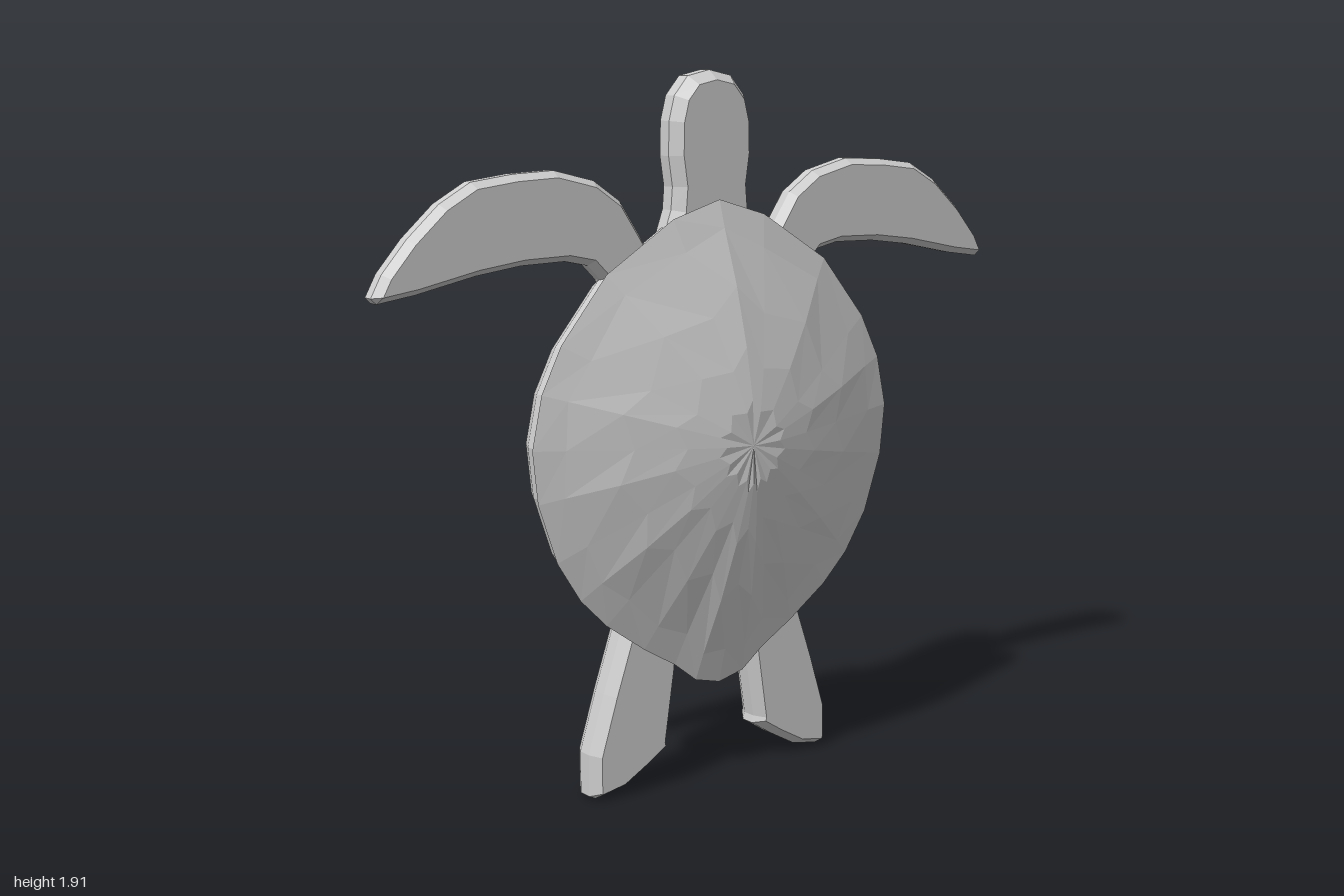
import * as THREE from 'three';

const material = new THREE.MeshStandardMaterial({ color: 0xcccccc, flatShading: true });
const CENTRE_Y = 0.95;

// Right half of the shell outline, from the tail tip up to the neck
const HALF = [
  [0, 0.27], [0.08, 0.29], [0.15, 0.345], [0.25, 0.405], [0.37, 0.49], [0.45, 0.57], [0.52, 0.68],
  [0.575, 0.84], [0.59, 0.98], [0.56, 1.12], [0.5, 1.24], [0.36, 1.41], [0.15, 1.54], [0, 1.585],
];

const mirrored = (half) => [
  ...half,
  ...half.slice(1, -1).reverse().map(([x, y]) => [-x, y]),
];

// Stack scaled copies of the outline from front to back; rings are [scale, z, zigzag]
function loft(name, rings) {
  const outline = mirrored(HALF);
  const n = outline.length;
  const positions = [];
  const index = [];
  for (const [scale, z, zigzag = 0] of rings) {
    outline.forEach(([x, y], j) => {
      const shift = j % 2 ? zigzag : -zigzag;
      const s = scale + shift;
      positions.push(x * s, CENTRE_Y + (y - CENTRE_Y) * s, z - shift * 0.12);
    });
  }
  for (let i = 0; i < rings.length - 1; i++) {
    for (let j = 0; j < n; j++) {
      const a = i * n + j;
      const b = i * n + ((j + 1) % n);
      if (rings[i][0] > 0) index.push(a, b + n, b);
      if (rings[i + 1][0] > 0) index.push(a, a + n, b + n);
    }
  }
  // Cells whose ring collapses to a point keep only one triangle
  const geometry = new THREE.BufferGeometry();
  geometry.setAttribute('position', new THREE.Float32BufferAttribute(positions, 3));
  geometry.setIndex(index);
  geometry.computeVertexNormals();
  const mesh = new THREE.Mesh(geometry, material);
  mesh.name = name;
  return mesh;
}

// Flat limb with chamfered edges; the outline is its widest silhouette
function limb(name, points, zBack, zFront, chamfer, side = 1) {
  const shape = new THREE.Shape(points.map(([x, y]) => new THREE.Vector2(x * side, y)));
  const thickness = zFront - zBack;
  const bevel = thickness * 0.32;
  const geometry = new THREE.ExtrudeGeometry(shape, {
    depth: thickness - 2 * bevel,
    bevelEnabled: true,
    bevelSegments: 1,
    bevelThickness: bevel,
    bevelSize: chamfer,
    bevelOffset: -chamfer,
  });
  geometry.translate(0, 0, zBack + bevel);
  const mesh = new THREE.Mesh(geometry, material);
  mesh.name = name;
  return mesh;
}

const HEAD = [
  [0, 1.4], [0.18, 1.4], [0.15, 1.49], [0.125, 1.56], [0.12, 1.62], [0.132, 1.7],
  [0.13, 1.79], [0.113, 1.855], [0.07, 1.905], [0, 1.92],
];

const FLIPPER = [
  [0.16, 1.4], [0.31, 1.33], [0.34, 1.39], [0.38, 1.43], [0.45, 1.445], [0.58, 1.442], [0.71, 1.425],
  [0.88, 1.39], [0.985, 1.375], [1, 1.39], [0.97, 1.445], [0.9, 1.525], [0.81, 1.605],
  [0.72, 1.655], [0.6, 1.67], [0.48, 1.675], [0.36, 1.645], [0.28, 1.59], [0.22, 1.5],
];

const HIND_FOOT = [
  [0.12, 0.42], [0.125, 0.33], [0.155, 0.13], [0.15, 0.11], [0.22, 0.065], [0.3, 0.02],
  [0.38, 0.005], [0.4, 0.015], [0.4, 0.13], [0.35, 0.29], [0.295, 0.45], [0.25, 0.495], [0.17, 0.485],
];

export function createModel() {
  const turtle = new THREE.Group();
  turtle.name = 'turtle';

  // Domed upper shell with staggered plates and an undercut rim
  turtle.add(loft('upperShell', [
    [0, 0.182], [0.17, 0.18, 0.02], [0.37, 0.155, 0.035], [0.61, 0.113, 0.04],
    [0.87, 0.057, 0.015], [1, 0.033], [0.92, 0.0], [0, 0.0],
  ]));

  // Body slab and shallow belly plate
  turtle.add(loft('belly', [
    [0, 0.0], [0.955, 0.0], [0.955, -0.03], [0.91, -0.082], [0.68, -0.122],
    [0.43, -0.156], [0.16, -0.176], [0, -0.182],
  ]));

  turtle.add(limb('head', mirrored(HEAD), -0.085, 0.022, 0.025));

  for (const [label, side] of [['left', 1], ['right', -1]]) {
    turtle.add(limb(`${label}FrontFlipper`, FLIPPER, -0.077, 0.003, 0.017, side));
    turtle.add(limb(`${label}HindFoot`, HIND_FOOT, -0.088, 0.022, 0.02, side));
  }
  return turtle;
}
